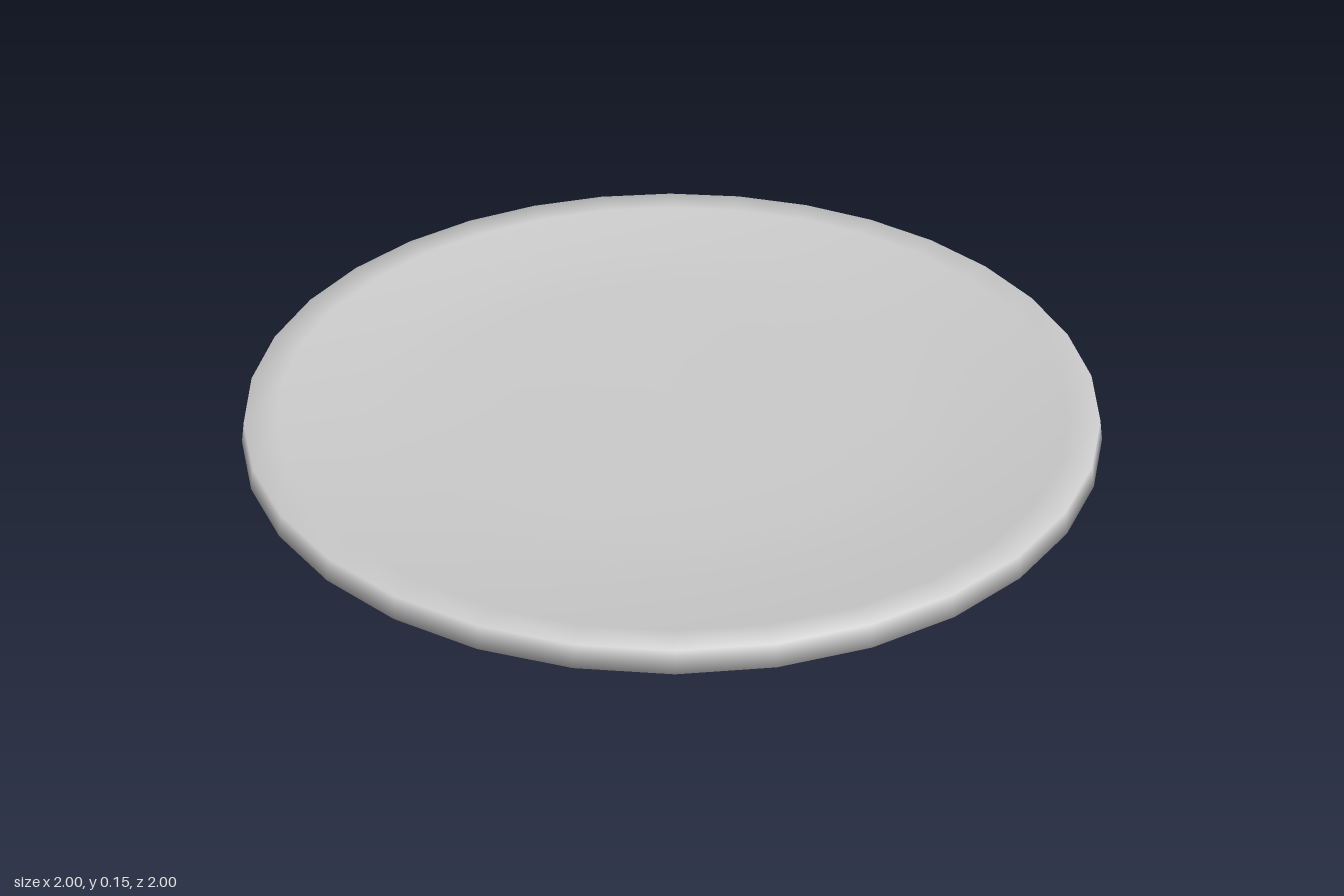
import * as THREE from 'three';

export function createModel() {
  const group = new THREE.Group();
  const material = new THREE.MeshStandardMaterial({ color: 0xcccccc });

  // Closed profile: underside from the centre, round the lip, back over the dish
  const profile = [
    [0, 0], [0.18, 0.003], [0.37, 0.009], [0.55, 0.016], [0.72, 0.025], [0.94, 0.073],
    [1, 0.1], [0.99, 0.15],              // outer lip
    [0.92, 0.141], [0.72, 0.113],        // sloping rim
    [0.55, 0.107], [0.37, 0.104], [0, 0.102], // dish floor
  ].map(([r, y]) => new THREE.Vector2(r, y));

  const plate = new THREE.Mesh(new THREE.LatheGeometry(profile, 32), material);
  plate.name = 'plate';
  group.add(plate);
  return group;
}
